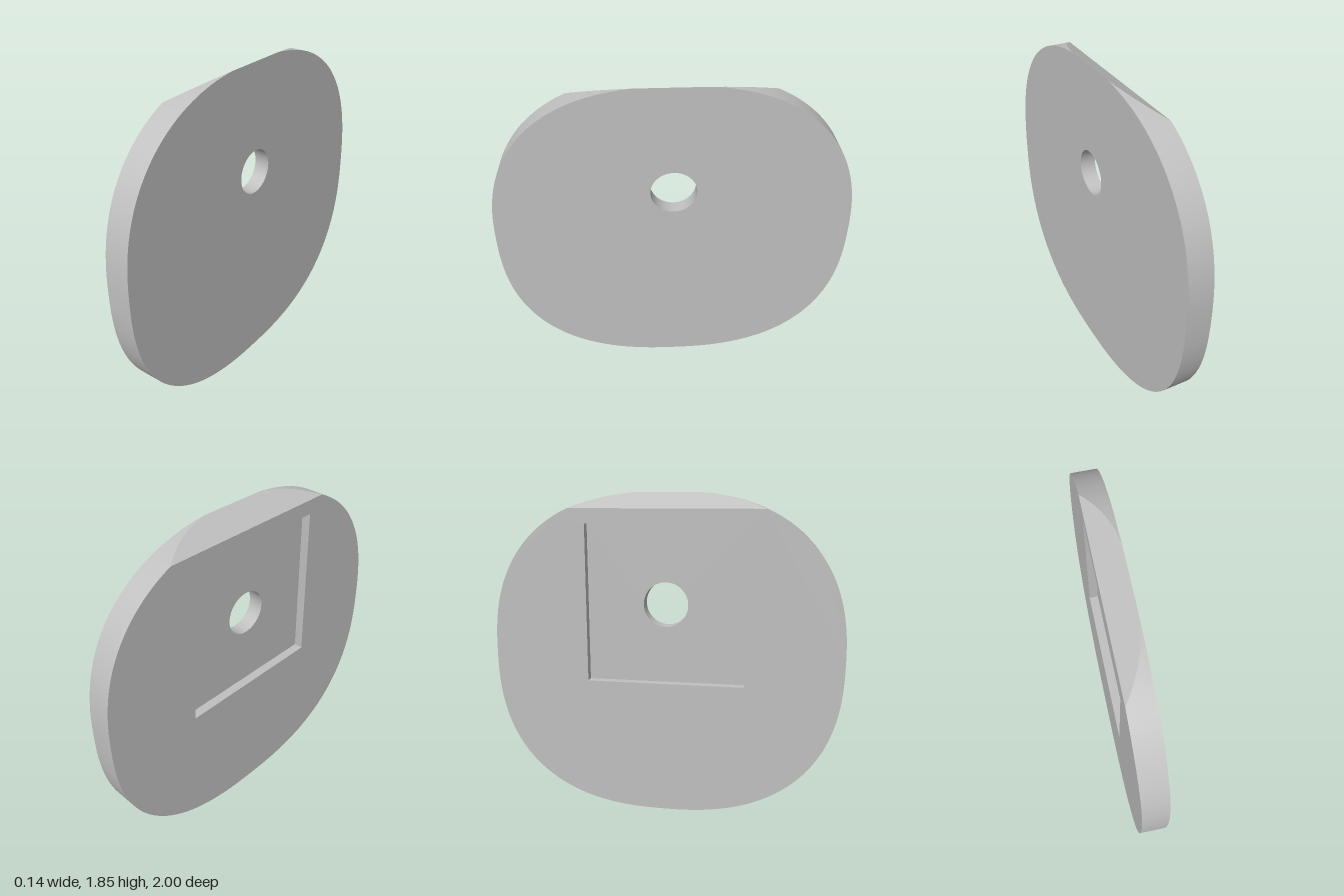
import * as THREE from 'three';
import { toCreasedNormals } from 'three/addons/utils/BufferGeometryUtils.js';

const HALF = 0.07;              // half thickness along x
const B = 0.926, N = 2.45;      // half height and roundness of the outline
const FLOOR_X = -HALF + 0.052;  // depth of the square pocket
const HOLE_Y = 1.228, HOLE_R = 0.127, POCKET = 0.45;

const bevelTop = x => 1.8025 + (x / HALF) * 0.0425;
const soften = v => Math.sign(v) * Math.abs(v) ** (2 / N);

// Rounded outline as [z, y] points, open where the sloped cut removes the top
function outline(x, segments = 160) {
  const cut = Math.asin(((bevelTop(x) - B) / B) ** (N / 2));
  return Array.from({ length: segments + 1 }, (_, i) => {
    const a = Math.PI - cut + (i / segments) * (Math.PI + 2 * cut);
    return [soften(Math.cos(a)), B + B * soften(Math.sin(a))];
  });
}

function circle(segments = 64) {
  return Array.from({ length: segments + 1 }, (_, i) => {
    const a = (-i / segments) * Math.PI * 2;
    return [HOLE_R * Math.cos(a), HOLE_Y + HOLE_R * Math.sin(a)];
  });
}

const square = [[-1, -1], [-1, 1], [1, 1], [1, -1], [-1, -1]]
  .map(([z, y]) => [z * POCKET, HOLE_Y + y * POCKET]);

// Skin joining cross-sections placed at rising x
function loft(xs, section) {
  const pos = [], index = [];
  const rings = xs.map(section);
  const n = rings[0].length;
  rings.forEach((ring, i) => ring.forEach(([z, y]) => pos.push(xs[i], y, z)));
  for (let i = 0; i < xs.length - 1; i++) {
    for (let j = 0; j < n - 1; j++) {
      const a = i * n + j, b = a + n;
      index.push(a, b, a + 1, b, b + 1, a + 1);
    }
  }
  const g = new THREE.BufferGeometry();
  g.setAttribute('position', new THREE.Float32BufferAttribute(pos, 3));
  g.setIndex(index);
  return toCreasedNormals(g, 0.35);
}

// Flat face with a hole, facing +x (side 1) or -x (side -1)
function face(x, side, border, hole) {
  const toVectors = pts => pts.map(p => new THREE.Vector2(...p));
  const shape = new THREE.Shape(toVectors(border));
  shape.holes.push(new THREE.Path(toVectors(hole)));
  return new THREE.ShapeGeometry(shape).rotateY(side * Math.PI / 2).translate(x, 0, 0);
}

export function createModel() {
  const group = new THREE.Group();
  group.name = 'roundedPlate';
  const grey = new THREE.MeshStandardMaterial({ color: 0xc0c0c0 });
  grey.name = 'plain grey';
  const add = (name, geometry) => {
    const mesh = new THREE.Mesh(geometry, grey);
    mesh.name = name;
    group.add(mesh);
  };
  const steps = Array.from({ length: 13 }, (_, i) => -HALF + (i / 12) * 2 * HALF);

  // Outer body
  add('rimWall', loft(steps, x => outline(x)));
  add('topBevel', loft(steps, x => {
    const ring = outline(x);
    return [ring[ring.length - 1], ring[0]];
  }));
  add('plainFace', face(HALF, 1, outline(HALF), circle()));
  add('pocketFace', face(-HALF, -1, outline(-HALF), square));

  // Square pocket and the round through hole
  add('pocketWall', loft([-HALF, FLOOR_X], () => square));
  add('pocketFloor', face(FLOOR_X, -1, square, circle()));
  add('holeWall', loft([FLOOR_X, HALF], () => circle()));
  return group;
}
